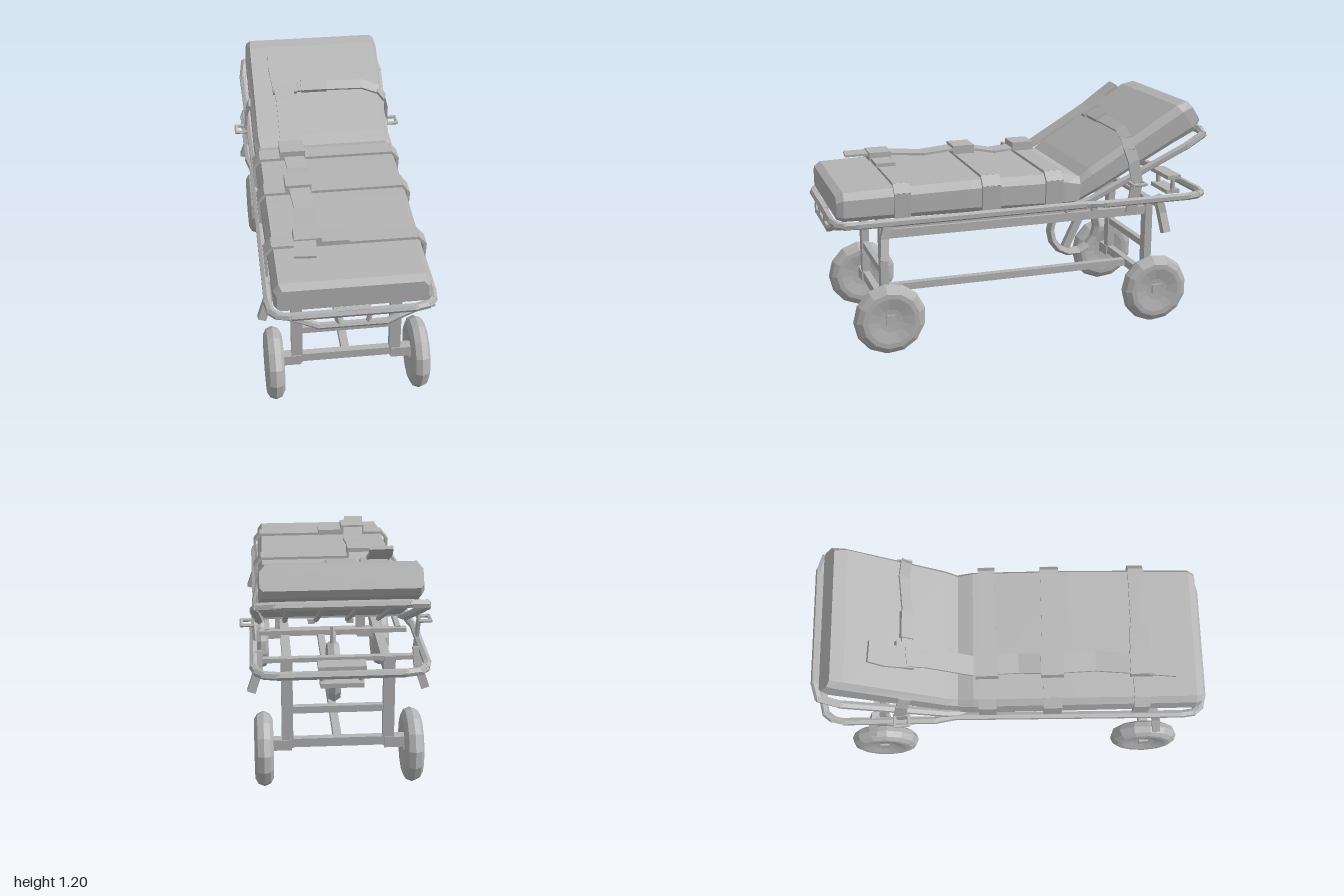
import * as THREE from 'three';

const grey = new THREE.MeshStandardMaterial({ color: 0xb4b4b4, flatShading: true, side: THREE.DoubleSide });
grey.name = 'plain grey';
const V = (p) => new THREE.Vector3(...p);

function add(parent, name, geo) {
  const m = new THREE.Mesh(geo, grey);
  m.name = name;
  parent.add(m);
  return m;
}
function box(parent, name, size, pos) {
  const m = add(parent, name, new THREE.BoxGeometry(...size));
  m.position.set(...pos);
  return m;
}
// Round six-sided bars joined along a path
function tube(parent, name, pts, r, closed = false) {
  const g = new THREE.Group();
  g.name = name;
  const n = closed ? pts.length : pts.length - 1;
  for (let i = 0; i < n; i++) {
    const a = V(pts[i]), b = V(pts[(i + 1) % pts.length]), d = b.clone().sub(a);
    const m = add(g, name + 'Segment', new THREE.CylinderGeometry(r, r, d.length() + r * 0.7, 6));
    m.position.copy(a).add(b).multiplyScalar(0.5);
    m.quaternion.setFromUnitVectors(new THREE.Vector3(0, 1, 0), d.normalize());
  }
  parent.add(g);
  return g;
}
// Flat bands along a path; side gives the width direction
function band(parent, name, pts, width, thick, side) {
  const g = new THREE.Group();
  g.name = name;
  for (let i = 0; i < pts.length - 1; i++) {
    const a = V(pts[i]), b = V(pts[i + 1]), d = b.clone().sub(a);
    const m = add(g, name + 'Segment', new THREE.BoxGeometry(width, thick, d.length() + thick * 0.6));
    d.normalize();
    const n = d.clone().cross(V(side)).normalize();
    const s = n.clone().cross(d);
    m.position.copy(a).add(b).multiplyScalar(0.5);
    m.quaternion.setFromRotationMatrix(new THREE.Matrix4().makeBasis(s, n, d));
  }
  parent.add(g);
  return g;
}
// Pad lofted through chamfered sections [zTop, yTop, zBottom, yBottom, halfWidth]
function pad(sections) {
  const pos = [], idx = [], N = 8;
  for (const [zt, yt, zb, yb, w] of sections) {
    const ring = [[-w + 0.015, 0], [-w, 0.15], [-w, 0.75], [-w + 0.025, 1], [w - 0.025, 1], [w, 0.75], [w, 0.15], [w - 0.015, 0]];
    for (const [x, t] of ring) pos.push(x, yb + (yt - yb) * t, zb + (zt - zb) * t);
  }
  const last = (sections.length - 1) * N;
  for (let s = 0; s < last; s += N) {
    for (let i = 0; i < N; i++) {
      const a = s + i, b = s + (i + 1) % N;
      idx.push(a, b, a + N, b, b + N, a + N);
    }
  }
  for (let i = 1; i < N - 1; i++) idx.push(0, i + 1, i, last, last + i, last + i + 1);
  const g = new THREE.BufferGeometry();
  g.setAttribute('position', new THREE.Float32BufferAttribute(pos, 3));
  g.setIndex(idx);
  const flat = g.toNonIndexed();
  flat.computeVertexNormals();
  return flat;
}
// Wheel spun from a [radius, x] profile, axle along x
function wheel(parent, name, profile, sides, pos) {
  const m = add(parent, name, new THREE.LatheGeometry(profile.map((p) => new THREE.Vector2(...p)), sides));
  m.rotation.z = -Math.PI / 2;
  m.position.set(...pos);
  return m;
}

export function createModel() {
  const root = new THREE.Group();
  root.name = 'wheeledStretcher';

  // Mattress and raised backrest
  add(root, 'mattress', pad([
    [0.965, 0.825, 0.965, 0.715, 0.35], [0.93, 0.845, 0.935, 0.705, 0.365], [0.3, 0.86, 0.3, 0.7, 0.37],
    [-0.2, 0.855, -0.2, 0.685, 0.37], [-0.28, 0.83, -0.27, 0.69, 0.365]]));
  add(root, 'backrest', pad([
    [-0.27, 0.825, -0.25, 0.69, 0.36], [-0.33, 0.87, -0.38, 0.755, 0.368],
    [-0.81, 1.165, -0.91, 1.035, 0.372], [-0.875, 1.18, -0.94, 1.08, 0.365]]));

  // Top rail and the backrest frame
  const flip = (pts) => pts.map(([x, y, z]) => [-x, y, z]);
  const railSide = [[0.29, 0.69, 0.98], [0.35, 0.69, 0.965], [0.38, 0.69, 0.93], [0.388, 0.69, 0.87], [0.382, 0.69, -0.3],
    [0.4, 0.69, -0.4], [0.4, 0.69, -0.87], [0.385, 0.69, -0.93], [0.355, 0.69, -0.965], [0.29, 0.69, -0.98]];
  tube(root, 'topRail', [...railSide, ...flip(railSide).reverse()], 0.02, true);
  const half = [[0.36, 0.67, -0.2], [0.37, 0.71, -0.33], [0.392, 0.96, -0.85], [0.375, 1.01, -0.95], [0.3, 1.02, -0.97]];
  tube(root, 'backrestFrame', [...half, ...flip(half).reverse()], 0.021);
  for (const x of [-0.24, -0.08, 0.08, 0.24])
    tube(root, 'backrestSlat', [[x, 0.68, -0.27], [x, 1.01, -0.96]], 0.013);
  for (const x of [-0.1, 0.1])
    box(root, 'bedSlat', [0.035, 0.025, 0.95], [x, 0.65, 0.26]);
  for (const z of [-0.71, -0.36, 0.73])
    box(root, 'bedCrossbar', [0.74, 0.022, 0.03], [0, 0.655, z]);

  // Undercarriage, mirrored left and right
  for (const s of [-1, 1]) {
    box(root, 'upperRail', [0.045, 0.045, 1.46], [s * 0.24, 0.594, 0]);
    box(root, 'innerRail', [0.025, 0.025, 1.1], [s * 0.33, 0.66, 0.19]);
    for (const z of [0.725, -0.71]) {
      box(root, 'leg', [0.055, 0.47, 0.04], [s * 0.245, 0.43, z]);
      box(root, 'axleArm', [0.13, 0.055, 0.05], [s * 0.29, 0.213, z]);
      wheel(root, 'wheel', [[0, -0.03], [0.06, -0.034], [0.12, -0.046], [0.145, -0.045], [0.172, -0.03], [0.184, 0],
        [0.172, 0.03], [0.145, 0.045], [0.12, 0.046], [0.06, 0.034], [0, 0.03]], 13, [s * 0.36, 0.188, z]);
      box(root, 'hubCap', [0.085, 0.05, 0.05], [s * 0.36, 0.195, z]);
      // Hanging bracket beside each leg
      const zo = z > 0 ? 0.02 : -0.02;
      band(root, 'sideBracket', [[s * 0.375, 0.69, z], [s * 0.38, 0.61, z + zo], [s * 0.41, 0.52, z + 1.5 * zo]],
        0.04, 0.04, [0, 0, 1]);
    }
    // Side buckle
    tube(root, 'sideBuckle', [[s * 0.4, 0.79, -0.6], [s * 0.455, 0.79, -0.6], [s * 0.455, 0.79, -0.53],
      [s * 0.4, 0.79, -0.53]], 0.009, true);
    // Hanging part of the chest strap
    band(root, 'chestStrapSide', [[s * 0.375, 0.97, -0.535], [s * 0.393, 0.9, -0.555], [s * 0.4, 0.79, -0.575],
      [s * 0.39, 0.63, -0.55]], 0.06, 0.012, [0, 0, 1]);
  }
  for (const z of [0.725, -0.71]) {
    box(root, 'lowerCrossbar', [0.46, 0.045, 0.035], [0, 0.22, z]);
    box(root, 'middleCrossbar', [0.46, 0.035, 0.03], [0, 0.395, z]);
  }
  // Single central rail joining the two axles
  box(root, 'lowerRail', [0.04, 0.038, 1.42], [0, 0.22, 0.01]);

  // Ring wheel under the hinge, with one broad spoke and a hanger
  wheel(root, 'ringWheel', [[0.118, -0.018], [0.143, -0.03], [0.16, 0], [0.143, 0.03], [0.118, 0.018], [0.118, -0.018]],
    14, [0, 0.448, -0.387]);
  band(root, 'ringSpoke', [[0, 0.335, -0.335], [0, 0.56, -0.445]], 0.035, 0.04, [1, 0, 0]);
  tube(root, 'ringHanger', [[0, 0.57, -0.39], [0, 0.67, -0.36]], 0.017);

  // Front bumper and end handles
  tube(root, 'frontBumper', [[-0.37, 0.685, 0.94], [-0.22, 0.645, 0.97], [-0.16, 0.622, 0.978], [0.16, 0.622, 0.978],
    [0.22, 0.645, 0.97], [0.37, 0.685, 0.94]], 0.017);
  for (const s of [-1, 1]) {
    tube(root, 'bumperStay', [[s * 0.085, 0.7, 0.978], [s * 0.065, 0.622, 0.978]], 0.012);
    tube(root, 'rearStay', [[s * 0.09, 0.715, -0.935], [s * 0.09, 0.633, -0.935]], 0.014);
  }
  box(root, 'frontHandle', [0.16, 0.03, 0.03], [0, 0.695, 0.975]);
  box(root, 'rearLowerPlate', [0.2, 0.022, 0.08], [0, 0.633, -0.935]);
  box(root, 'rearUpperPlate', [0.22, 0.022, 0.08], [0, 0.715, -0.935]);

  // Straps across the mattress with buckles
  for (const [z, top, w] of [[0.65, 0.87, 0.08], [0.2, 0.875, 0.095], [-0.13, 0.87, 0.09]]) {
    const side = [[0.375, 0.69, z], [0.382, 0.83, z], [0.348, top, z]];
    band(root, 'crossStrap', [...side, ...flip(side).reverse()], w, 0.014, [0, 0, 1]);
    box(root, 'strapBuckle', [0.13, 0.045, 0.115], [-0.18, top + 0.03, z]);
  }
  box(root, 'crossStrapClip', [0.13, 0.02, 0.1], [-0.05, 0.885, 0.65]);
  // Long strap up the bed and over the backrest
  band(root, 'longStrap', [[-0.205, 0.905, 0.82], [-0.19, 0.91, 0.65], [-0.165, 0.895, 0.42], [-0.18, 0.91, 0.2],
    [-0.165, 0.88, 0.03], [-0.18, 0.895, -0.2], [-0.18, 1.03, -0.43], [-0.19, 1.08, -0.52]], 0.105, 0.012, [1, 0, 0]);
  band(root, 'strapEnd', [[-0.19, 1.06, -0.5], [-0.205, 1.14, -0.62], [-0.2, 1.19, -0.69]], 0.11, 0.016, [1, 0, 0]);

  // Chest strap over the backrest
  band(root, 'chestStrap', [[-0.22, 1.05, -0.53], [-0.1, 1.06, -0.52], [0.05, 1.06, -0.52], [0.25, 1.045, -0.54],
    [0.34, 1.01, -0.535], [0.378, 0.96, -0.535]], 0.055, 0.012, [0, 0.5, -0.86]);
  const clip = box(root, 'chestBuckle', [0.14, 0.025, 0.07], [-0.02, 1.065, -0.52]);
  const joint = box(root, 'chestStrapJoint', [0.13, 0.025, 0.1], [-0.18, 1.07, -0.53]);
  clip.rotation.x = joint.rotation.x = 0.55;

  return root;
}
